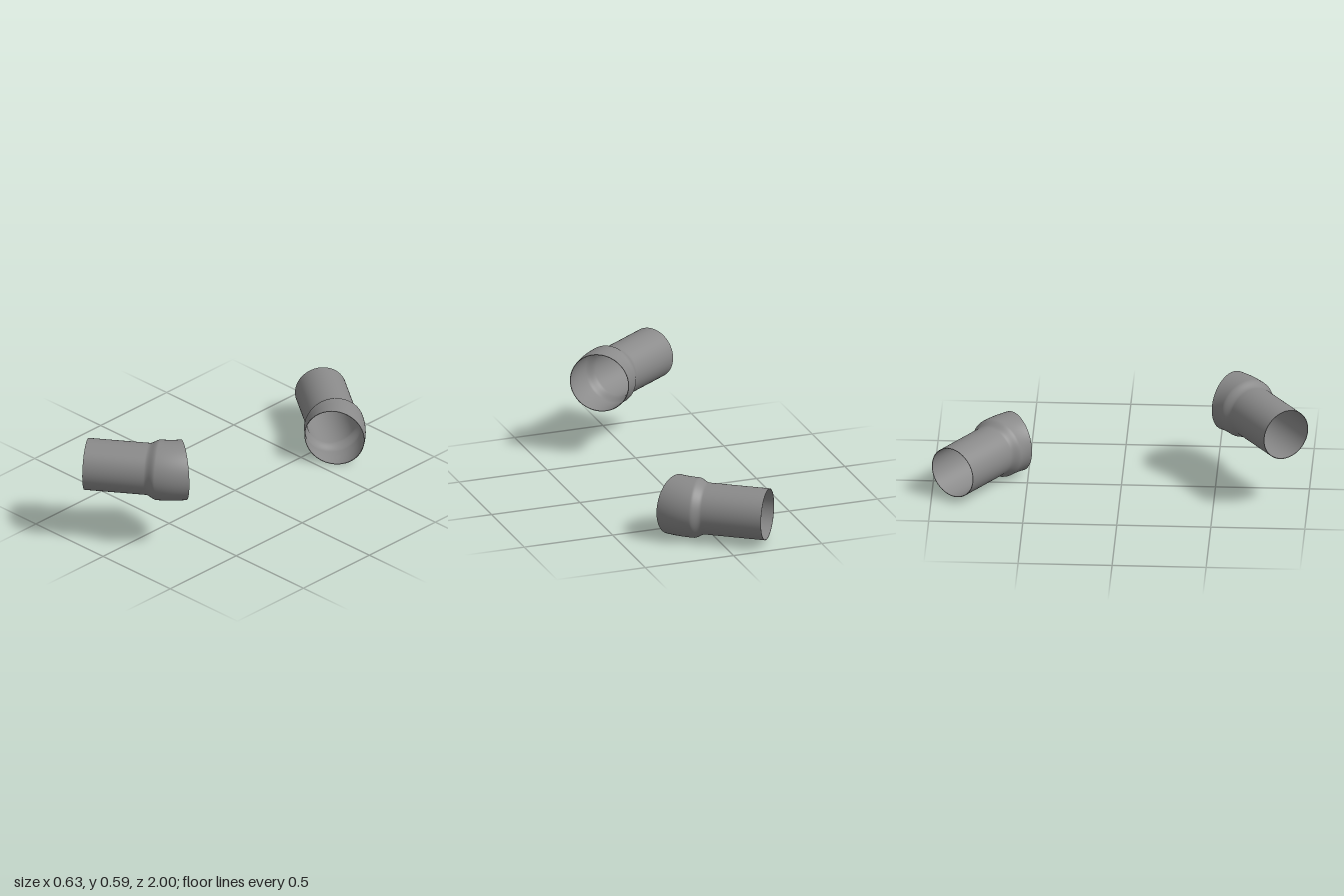
import * as THREE from 'three';

const SIDES = 72;
const WALL = 0.003;
const PIPE_R = 0.1385;
const BELL_R = 0.1615;
const A0 = THREE.MathUtils.degToRad(35); // heading of the straight pipe
const BEND = THREE.MathUtils.degToRad(20); // turn of the bell
const BEND_R = 0.366;

const material = new THREE.MeshStandardMaterial({ color: 0x8a8a8a, side: THREE.DoubleSide });

// Cross-sections along the pipe: centre (x, z), heading a, radius r
function pipeSections() {
  const start = { x: -0.234, z: 0.887 };
  const along = (t, r) => ({
    x: start.x + Math.cos(A0) * t, z: start.z - Math.sin(A0) * t, a: A0, r,
  });
  const list = [along(0, PIPE_R), along(0.17, PIPE_R), along(0.32, PIPE_R)];
  // smooth flare from pipe to bell
  const flare = 14;
  for (let i = 0; i <= flare; i++) {
    const k = i / flare;
    list.push(along(0.33 + 0.06 * k, THREE.MathUtils.lerp(PIPE_R, BELL_R, k * k * (3 - 2 * k))));
  }
  list.push(along(0.395, BELL_R));
  // bell following an arc
  const s = list[list.length - 1];
  const steps = 16;
  for (let i = 1; i <= steps; i++) {
    const a = A0 + (BEND * i) / steps;
    list.push({
      x: s.x + BEND_R * (Math.sin(a) - Math.sin(A0)),
      z: s.z + BEND_R * (Math.cos(a) - Math.cos(A0)),
      a, r: BELL_R,
    });
  }
  return list;
}

// Skin a list of circular cross-sections
function skin(sections, name) {
  const pos = [], index = [];
  sections.forEach((s, i) => {
    for (let j = 0; j < SIDES; j++) {
      const t = (j / SIDES) * Math.PI * 2;
      const side = s.r * Math.cos(t);
      pos.push(s.x + Math.sin(s.a) * side, s.r * Math.sin(t), s.z + Math.cos(s.a) * side);
      if (i < sections.length - 1) {
        const n = (j + 1) % SIDES;
        const a = i * SIDES + j, b = a + SIDES, c = i * SIDES + n, d = c + SIDES;
        index.push(a, b, c, c, b, d);
      }
    }
  });
  const g = new THREE.BufferGeometry();
  g.setAttribute('position', new THREE.Float32BufferAttribute(pos, 3));
  g.setIndex(index);
  g.computeVertexNormals();
  const mesh = new THREE.Mesh(g, material);
  mesh.name = name;
  return mesh;
}

function makePipe(name) {
  const outer = pipeSections();
  const inner = outer.map((s) => ({ ...s, r: s.r - WALL }));
  const last = outer.length - 1;
  const pipe = new THREE.Group();
  pipe.name = name;
  pipe.add(
    skin(outer, 'outerWall'),
    skin([...inner].reverse(), 'innerWall'),
    skin([outer[last], inner[last]], 'bellRim'),
    skin([inner[0], outer[0]], 'plainRim'),
  );
  return pipe;
}

export function createModel() {
  const model = new THREE.Group();
  model.name = 'pipeFittings';

  const front = makePipe('frontPipe');
  front.position.y = 0.427;

  // the rear pipe is the same fitting turned over about the x axis
  const rear = makePipe('rearPipe');
  rear.rotation.x = Math.PI;
  rear.position.y = 0.162;

  model.add(front, rear);
  return model;
}
